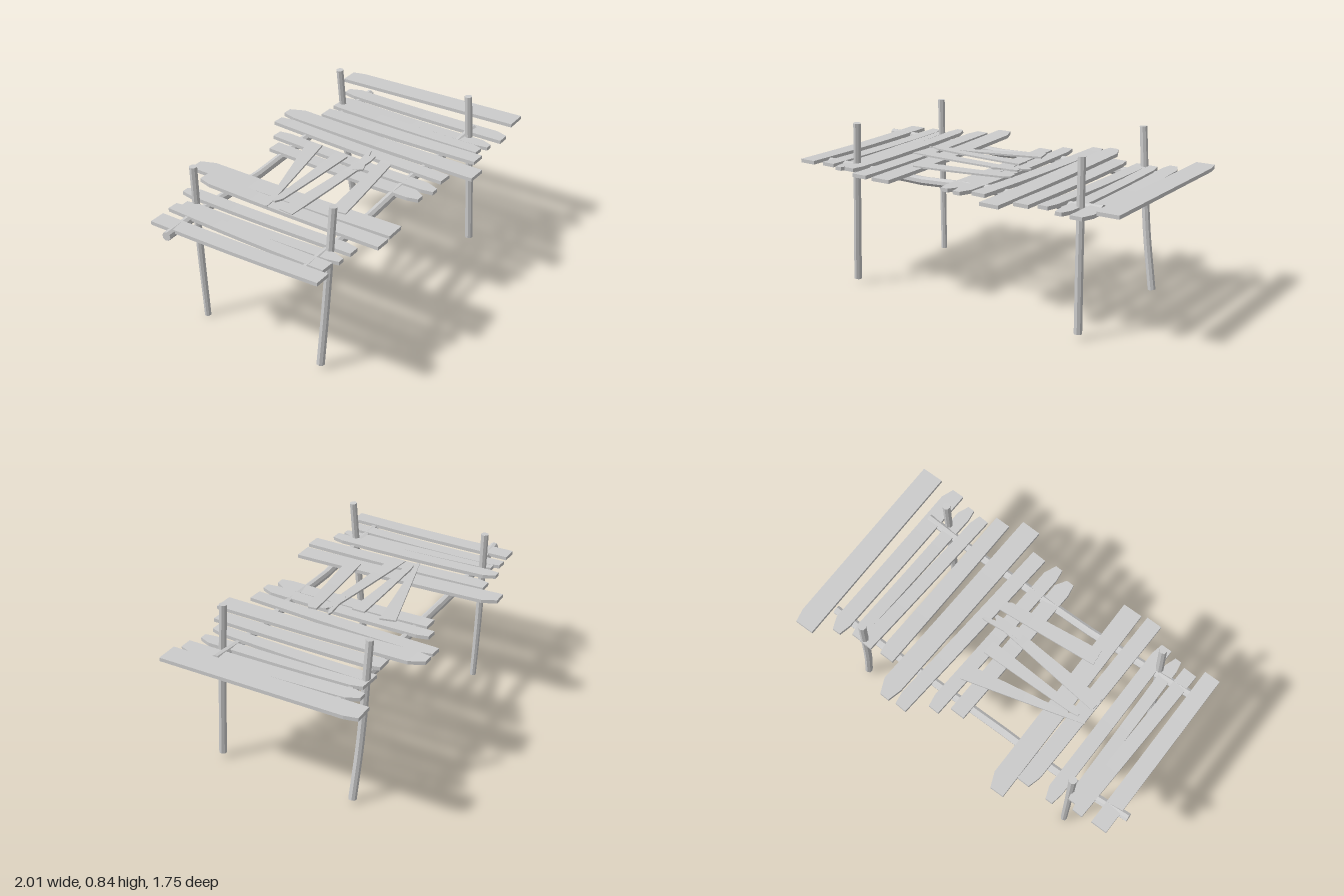
import * as THREE from 'three';

const material = new THREE.MeshStandardMaterial({ color: 0xcccccc, flatShading: true });

// Deck boards: back end x, z, y | front end x, z, y | back width, front width | back chip, front chip
// A chip is how far a corner is cut away; its sign picks the corner.
const lowDeck = [
  [-0.96, 0.10, 0.627, -0.49, 0.865, 0.635, 0.082, 0.082, 0, 0],
  [-0.86, 0.03, 0.627, -0.43, 0.78, 0.625, 0.066, 0.07, 0.3, 0],
  [-0.805, 0.03, 0.625, -0.35, 0.75, 0.62, 0.055, 0.062, 0.3, 0.5],
  [-0.765, -0.07, 0.635, -0.275, 0.72, 0.63, 0.07, 0.068, 0.5, 0.3],
  [-0.655, -0.14, 0.64, -0.14, 0.72, 0.63, 0.08, 0.08, -0.3, 0],
  [-0.635, -0.28, 0.635, -0.045, 0.65, 0.625, 0.1, 0.1, 0.45, 0],
];
const highDeck = [
  [-0.23, -0.31, 0.625, 0.205, 0.42, 0.615, 0.075, 0.085, 0, 0.6],
  [-0.17, -0.41, 0.632, 0.29, 0.40, 0.62, 0.07, 0.072, 0.3, 0.5],
  [-0.105, -0.55, 0.632, 0.375, 0.335, 0.628, 0.075, 0.075, 0.3, 0],
  [-0.03, -0.605, 0.64, 0.535, 0.355, 0.622, 0.1, 0.1, 0.55, 0],
  [0.15, -0.53, 0.632, 0.61, 0.235, 0.628, 0.085, 0.078, 0.2, 0],
  [0.245, -0.60, 0.625, 0.665, 0.15, 0.622, 0.07, 0.065, 0, 0.3],
  [0.30, -0.63, 0.625, 0.745, 0.115, 0.61, 0.06, 0.066, 0.3, 0.5],
  [0.36, -0.71, 0.63, 0.85, 0.08, 0.615, 0.08, 0.085, 0.5, 0.4],
  [0.43, -0.845, 0.645, 0.965, 0.0, 0.65, 0.11, 0.11, 0.2, 0],
];
// Broken boards lying across the gap, tapering to splintered points
const loose = [
  [-0.055, -0.21, 0.648, -0.485, 0.225, 0.64, 0.08, 0.018, 0, 0.4],
  [0.02, -0.06, 0.645, -0.44, 0.215, 0.648, 0.07, 0.035, 0, 0.7],
  [0.15, 0.02, 0.65, -0.425, 0.31, 0.64, 0.045, 0.075, -0.8, 0],
  [0.20, 0.08, 0.64, -0.21, 0.40, 0.635, 0.06, 0.08, 0.4, 0],
  [0.165, -0.035, 0.652, 0.02, 0.11, 0.648, 0.012, 0.06, -0.5, 0.6],
];

// A board: a box whose end rings are chipped and which sags slightly in the middle
function plank([ax, az, ay, bx, bz, by, wa, wb, chipA, chipB], thick, sag) {
  const a = new THREE.Vector3(ax, ay, az), b = new THREE.Vector3(bx, by, bz);
  const dir = b.clone().sub(a);
  const across = new THREE.Vector3(dir.z, 0, -dir.x).normalize();
  const g = new THREE.BoxGeometry(1, thick, 1, 1, 1, 6);
  const stops = [0, 0.065, 0.3, 0.5, 0.7, 0.935, 1];
  const p = g.attributes.position, v = new THREE.Vector3();
  for (let i = 0; i < p.count; i++) {
    const ring = Math.round((p.getZ(i) + 0.5) * 6), t = stops[ring];
    let side = p.getX(i) * THREE.MathUtils.lerp(wa, wb, t);
    const chip = ring === 0 ? chipA : ring === 6 ? chipB : 0;
    if (chip * side > 0) side *= 1 - Math.abs(chip) * 1.3;
    else if (Math.abs(chip) > 0.45) side *= 0.7;
    v.copy(a).addScaledVector(dir, t).addScaledVector(across, side);
    p.setXYZ(i, v.x, v.y + p.getY(i) - sag * Math.sin(Math.PI * t), v.z);
  }
  g.computeVertexNormals();
  return new THREE.Mesh(g, material);
}

// A rough round pole: rings of points joined along a bent centre line, closed at both ends
function pole(points, r0, r1, sides = 8) {
  const path = new THREE.CatmullRomCurve3(points.map(q => new THREE.Vector3(...q)));
  const rings = 8;
  const g = new THREE.CylinderGeometry(1, 1, 1, sides, rings);
  const p = g.attributes.position, up = new THREE.Vector3(0, 1, 0);
  const turn = new THREE.Quaternion(), v = new THREE.Vector3();
  for (let i = 0; i < p.count; i++) {
    const t = THREE.MathUtils.clamp(p.getY(i) + 0.5, 0, 1);
    turn.setFromUnitVectors(up, path.getTangent(t));
    const r = THREE.MathUtils.lerp(r0, r1, t);
    v.set(p.getX(i) * r, 0, p.getZ(i) * r).applyQuaternion(turn).add(path.getPoint(t));
    p.setXYZ(i, v.x, v.y, v.z);
  }
  g.computeVertexNormals();
  return new THREE.Mesh(g, material);
}

export function createModel() {
  const model = new THREE.Group();
  const add = (mesh, name) => { mesh.name = name; model.add(mesh); };

  lowDeck.forEach((d, i) => add(plank(d, 0.018, 0.005), `lowerDeckPlank${i + 1}`));
  highDeck.forEach((d, i) => add(plank(d, 0.018, i === 8 ? 0 : 0.005), `upperDeckPlank${i + 1}`));
  loose.forEach((d, i) => add(plank(d, 0.009, 0.002), `brokenPlank${i + 1}`));

  // Two wavy rails under the deck
  add(pole([[-0.965, 0.245, 0.618], [-0.72, 0.07, 0.607], [-0.34, -0.16, 0.596], [-0.05, -0.35, 0.61],
    [0.24, -0.53, 0.598], [0.47, -0.67, 0.613]].map(([x, z, y]) => [x, y, z]), 0.022, 0.022), 'backRail');
  add(pole([[-0.53, 0.745, 0.614], [-0.36, 0.63, 0.608], [-0.02, 0.40, 0.594], [0.22, 0.245, 0.61],
    [0.5, 0.07, 0.594], [0.77, -0.09, 0.612]].map(([x, z, y]) => [x, y, z]), 0.022, 0.022), 'frontRail');

  // Four crooked posts rising through the deck
  const posts = {
    backRightPost: [[-0.737, 0.003, 0.05], [-0.752, 0.4, 0.046], [-0.76, 0.82, 0.045]],
    frontRightPost: [[-0.412, 0.025, 0.653], [-0.385, 0.33, 0.654], [-0.345, 0.838, 0.653]],
    backLeftPost: [[0.35, 0.02, -0.607], [0.302, 0.33, -0.596], [0.255, 0.828, -0.59]],
    frontLeftPost: [[0.724, 0.03, 0.003], [0.71, 0.4, -0.006], [0.69, 0.84, -0.021]],
  };
  for (const [name, pts] of Object.entries(posts)) add(pole(pts, name === 'backRightPost' ? 0.016 : 0.02, 0.019), name);
  return model;
}
